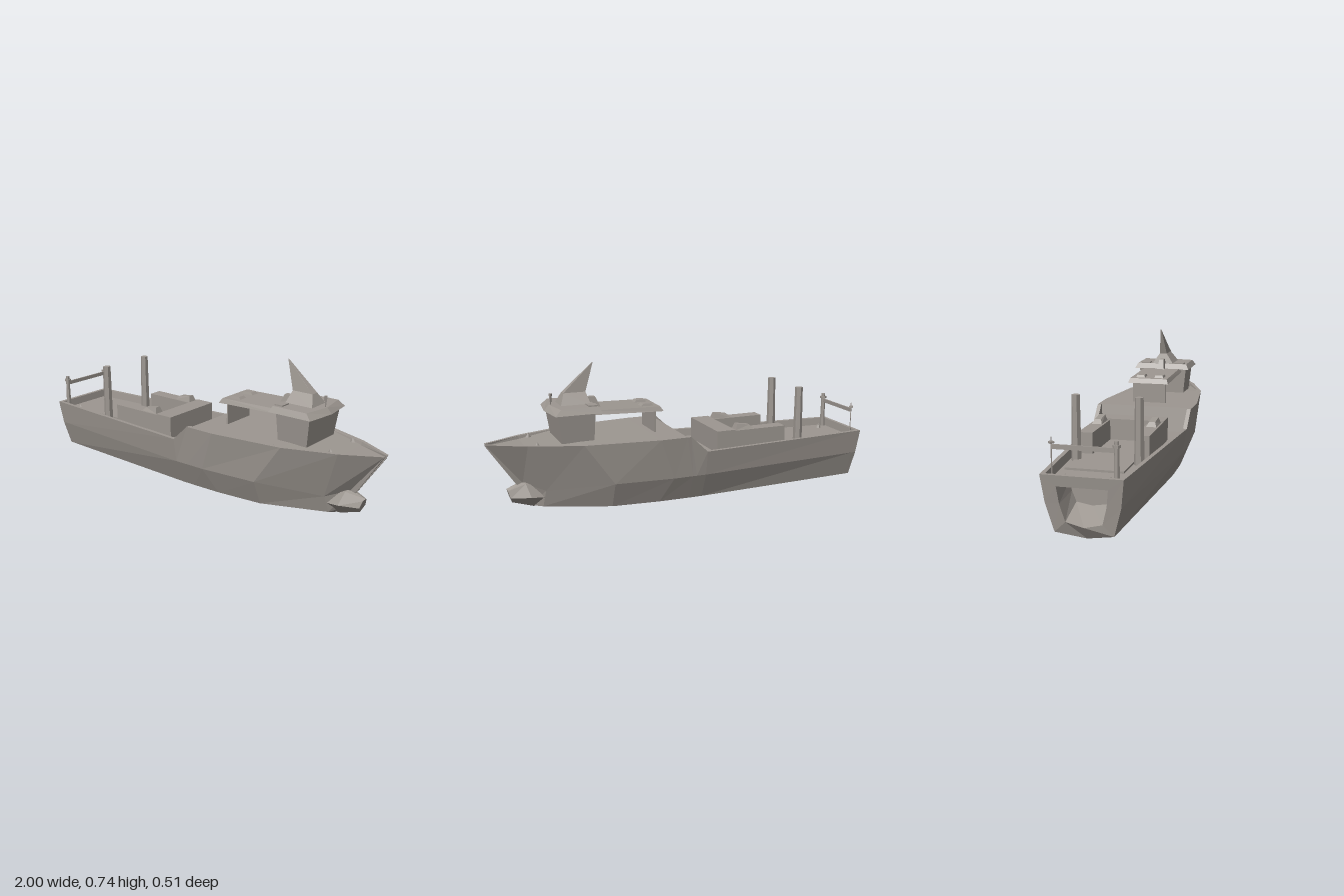
import * as THREE from 'three';

const paint = new THREE.MeshStandardMaterial({ color: 0x9d9791 });
paint.name = 'warm grey paint';

// Flat-shaded closed solid through a list of equal-length rings of [x, y, z]
function loft(rings) {
  const n = rings[0].length, tris = [];
  for (let r = 0; r + 1 < rings.length; r++) {
    for (let i = 0; i < n; i++) {
      const j = (i + 1) % n, a = rings[r], b = rings[r + 1];
      tris.push([a[i], b[i], b[j]], [a[i], b[j], a[j]]);
    }
  }
  const first = rings[0], last = rings[rings.length - 1];
  for (let i = 1; i + 1 < n; i++) {
    tris.push([first[0], first[i], first[i + 1]], [last[0], last[i + 1], last[i]]);
  }
  // Turn the faces outward
  let volume = 0;
  for (const [a, b, c] of tris) {
    volume += a[0] * (b[1] * c[2] - b[2] * c[1]) + a[1] * (b[2] * c[0] - b[0] * c[2]) + a[2] * (b[0] * c[1] - b[1] * c[0]);
  }
  if (volume < 0) tris.forEach((t) => t.reverse());
  const geo = new THREE.BufferGeometry();
  geo.setAttribute('position', new THREE.Float32BufferAttribute(tris.flat(2), 3));
  geo.computeVertexNormals();
  return geo;
}

const mirrorRing = (half) => [
  ...half,
  ...half.filter((p) => p[2] > 0).reverse().map(([x, y, z]) => [x, y, -z]),
];

// Hull section: keel, bilge, side, rail, then bulwark and deck
function section([keel, bilge, side, rail], deckY) {
  const inset = (d) => Math.max(rail[2] - d, 0.004);
  return mirrorRing([
    keel, bilge, side, rail,
    [rail[0], rail[1], inset(0.02)],
    [rail[0], deckY, inset(0.025)],
  ]);
}

const lerpSection = (a, b, t) => a.map((p, i) => p.map((v, k) => v + (b[i][k] - v) * t));

export function createModel() {
  const ship = new THREE.Group();
  ship.name = 'ship';

  const add = (name, geo, x = 0, y = 0, z = 0) => {
    const mesh = new THREE.Mesh(geo, paint);
    mesh.name = name;
    mesh.position.set(x, y, z);
    ship.add(mesh);
    return mesh;
  };
  const box = (name, x0, x1, y0, y1, z0, z1) =>
    add(name, new THREE.BoxGeometry(x1 - x0, y1 - y0, z1 - z0), (x0 + x1) / 2, (y0 + y1) / 2, (z0 + z1) / 2);
  const faceted = (geo) => {
    const flat = geo.toNonIndexed();
    flat.computeVertexNormals();
    return flat;
  };

  // Hull with bulwarks, decks and a recessed stern opening
  const stern = [[-0.93, 0.002, 0], [-0.97, 0.035, 0.13], [-0.985, 0.165, 0.165], [-1, 0.29, 0.18]];
  const waist = [[-0.05, 0, 0], [-0.05, 0.035, 0.175], [-0.05, 0.165, 0.23], [-0.05, 0.29, 0.25]];
  const step = [[0, 0, 0], [0, 0.035, 0.175], [0, 0.165, 0.23], [0.04, 0.375, 0.252]];
  const stepFront = [[0.02, 0, 0], [0.02, 0.035, 0.175], [0.02, 0.165, 0.23], [0.06, 0.375, 0.253]];
  const middle = [[0.2, 0, 0], [0.18, 0.035, 0.172], [0.12, 0.165, 0.23], [0.2, 0.375, 0.255]];
  const shoulder = [[0.48, 0, 0], [0.42, 0.035, 0.15], [0.42, 0.165, 0.205], [0.57, 0.375, 0.21]];
  const bow = [[0.76, 0.035, 0], [0.74, 0.042, 0.04], [0.73, 0.13, 0.07], [0.82, 0.375, 0.12]];
  const stem = [[0.78, 0.04, 0], [0.78, 0.06, 0.005], [0.83, 0.165, 0.008], [1, 0.375, 0.02]];
  const transom = section(stern, 0.29);
  const opening = transom.map(([x, y, z]) => {
    const h = 0.16 + (y - 0.16) * 0.62;
    return [-0.967 - (h - 0.035) * 0.13, h, z * 0.62];
  });
  const recess = opening.map(([, y, z]) => [-0.85, 0.18 + (y - 0.16) * 0.6, z * 0.9]);
  add('hull', loft([
    recess, opening, transom,
    section(lerpSection(stern, waist, 0.02), 0.29),
    section(lerpSection(stern, waist, 0.025), 0.25),
    section(waist, 0.25),
    section(step, 0.25),
    section(stepFront, 0.375),
    section(middle, 0.375),
    section(shoulder, 0.373),
    section(bow, 0.36),
    section(stem, 0.365),
  ]));

  // Bulbous bow
  add('bulbousBow', loft([
    mirrorRing([[0.7, 0.04, 0], [0.7, 0.09, 0.05], [0.7, 0.13, 0.03], [0.7, 0.14, 0]]),
    mirrorRing([[0.78, 0.037, 0], [0.8, 0.1, 0.063], [0.82, 0.165, 0.033], [0.82, 0.175, 0]]),
    mirrorRing([[0.885, 0.07, 0], [0.895, 0.1, 0.03], [0.905, 0.135, 0.018], [0.91, 0.142, 0]]),
  ]));

  // Cargo area: low hatch, U-shaped deckhouse and its small covers
  box('cargoHatch', -0.78, -0.24, 0.245, 0.26, -0.15, 0.12);
  box('deckhouse', -0.24, -0.14, 0.245, 0.365, -0.17, 0.17);
  for (const s of [1, -1]) {
    box('deckhouseWing', -0.53, -0.24, 0.245, 0.36, s * 0.135 - 0.035, s * 0.135 + 0.035);
    add('wingCover', loft([
      [[-0.35, 0.36, s * 0.11], [-0.25, 0.36, s * 0.11], [-0.25, 0.36, s * 0.16], [-0.35, 0.36, s * 0.16]],
      [[-0.33, 0.38, s * 0.12], [-0.26, 0.39, s * 0.12], [-0.26, 0.39, s * 0.15], [-0.33, 0.38, s * 0.15]],
    ]));

    // Tall posts beside the hatch
    add('cargoPost', faceted(new THREE.CylinderGeometry(0.02, 0.024, 0.31, 6)), -0.622, 0.4, s * 0.147);

    // Mooring cleats fore and aft
    for (const [x, y, z] of [[0.77, 0.372, 0.1], [-0.91, 0.26, 0.1]]) {
      const cleat = add('cleat', faceted(new THREE.ConeGeometry(0.018, 0.03, 4)), x, y, s * z);
      cleat.scale.z = 0.6;
    }
  }

  // Stern gantry: one stout post, one thin post and a crossbeam
  add('sternPost', faceted(new THREE.CylinderGeometry(0.01, 0.014, 0.19, 6)), -0.96, 0.345, 0.14);
  add('sternPostCap', faceted(new THREE.CylinderGeometry(0.018, 0.018, 0.012, 6)), -0.96, 0.418, 0.14);
  add('thinSternPost', faceted(new THREE.CylinderGeometry(0.003, 0.003, 0.19, 4)), -0.96, 0.345, -0.14);
  add('thinPostCap', faceted(new THREE.CylinderGeometry(0.014, 0.014, 0.008, 4)), -0.96, 0.418, -0.14);
  box('sternBeam', -0.964, -0.956, 0.39, 0.41, -0.14, 0.14);

  // Aft shelter: overhanging roof and its end wall
  const slab = (x0, x1, y, z) => [[x0, y, -z], [x1, y, -z], [x1, y, z], [x0, y, z]];
  add('shelterRoof', loft([
    [[0.13, 0.483, -0.11], [0.5, 0.495, -0.11], [0.5, 0.495, 0.11], [0.13, 0.483, 0.11]],
    [[0.145, 0.507, -0.1], [0.5, 0.515, -0.1], [0.5, 0.515, 0.1], [0.145, 0.507, 0.1]],
  ]));
  box('shelterWall', 0.165, 0.173, 0.37, 0.49, -0.09, 0.09);
  for (const s of [1, -1]) {
    add('roofVent', loft([slab(0.17, 0.24, 0.505, 0.025), slab(0.18, 0.225, 0.52, 0.02)]), 0, 0, s * 0.05);
  }

  // Wheelhouse and its wide bevelled roof
  add('wheelhouse', loft([slab(0.495, 0.655, 0.37, 0.12), slab(0.49, 0.675, 0.515, 0.135)]));
  const roofRing = (x0, x1, x2, y, z) => [[x0, y, -z], [x1, y, -z], [x2, y, 0], [x1, y, z], [x0, y, z]];
  add('wheelhouseRoof', loft([roofRing(0.46, 0.69, 0.71, 0.512, 0.155), roofRing(0.475, 0.66, 0.685, 0.541, 0.14)]));
  for (const s of [1, -1]) box('roofLocker', 0.475, 0.52, 0.538, 0.547, s * 0.098 - 0.027, s * 0.098 + 0.027);

  // Raked mast with flared foot
  add('mast', loft([
    slab(0.49, 0.64, 0.538, 0.06),
    slab(0.505, 0.615, 0.595, 0.02),
    [[0.46, 0.737, -0.006], [0.464, 0.735, -0.006], [0.464, 0.735, -0.002], [0.46, 0.737, -0.002]],
  ]));
  add('mastBrace', loft([slab(0.43, 0.53, 0.515, 0.02), slab(0.455, 0.53, 0.566, 0.012)]));

  // Small forward antenna
  const antenna = add('antenna', faceted(new THREE.ConeGeometry(0.009, 0.07, 4)), 0.675, 0.56, 0);
  antenna.rotation.x = Math.PI;

  return ship;
}
